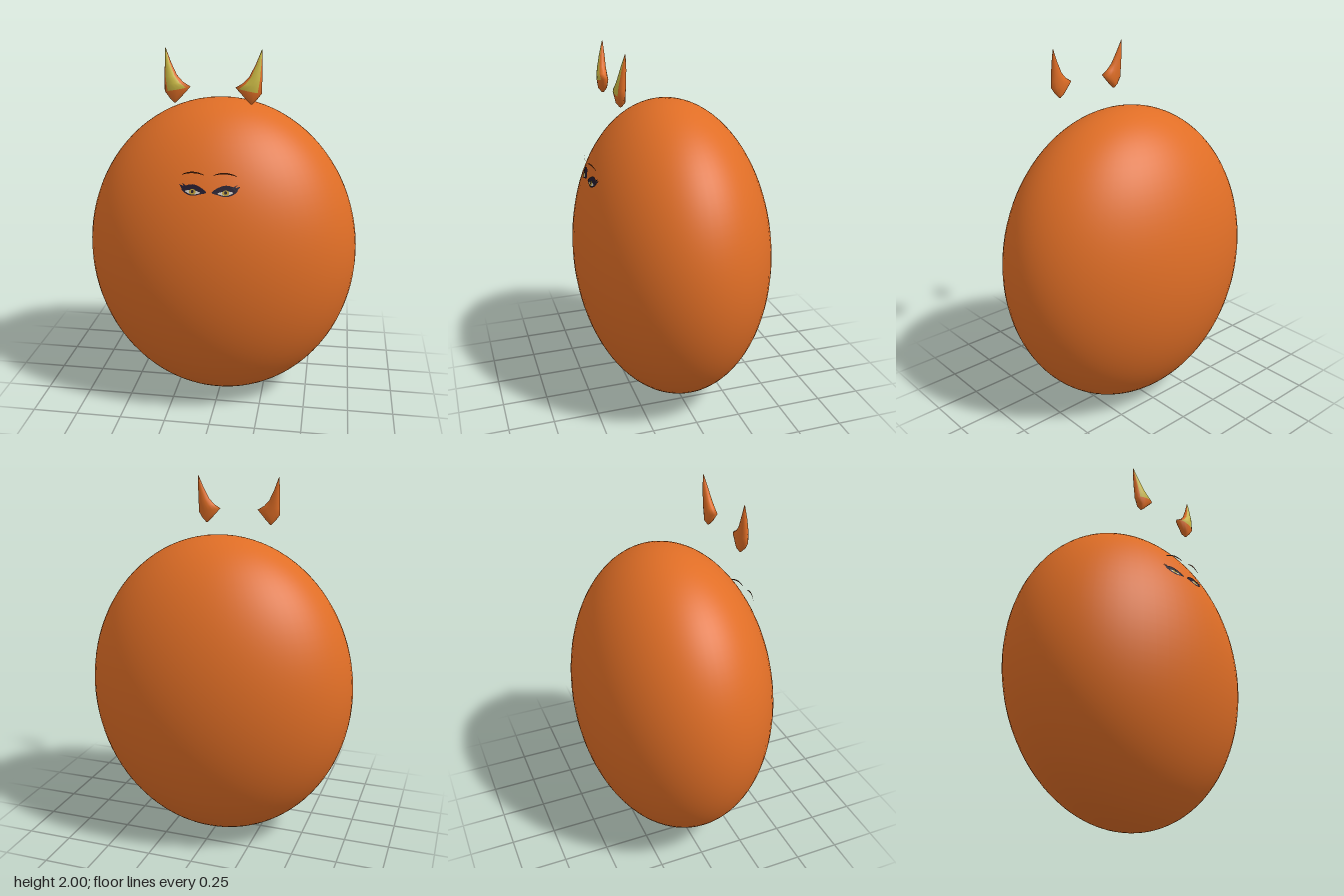
import * as THREE from 'three';

const mat = (name, color, side = THREE.FrontSide) => {
  const m = new THREE.MeshStandardMaterial({ color, side });
  m.name = name;
  return m;
};

const BODY = { y: 0.857, rx: 0.75, ry: 0.853, rz: 0.538 };

// z of the body's front surface
const frontZ = (x, y) =>
  BODY.rz * Math.sqrt(Math.max(0, 1 - (x / BODY.rx) ** 2 - ((y - BODY.y) / BODY.ry) ** 2));

function addMesh(parent, name, geometry, material) {
  const mesh = new THREE.Mesh(geometry, material);
  mesh.name = name;
  parent.add(mesh);
  return mesh;
}

// Thin face shape laid over the body; zAt gives its depth
function plate(points, side, zAt) {
  const shape = new THREE.Shape(points.map(([x, y]) => new THREE.Vector2(side * x, y)));
  const g = new THREE.ShapeGeometry(shape);
  const p = g.attributes.position;
  for (let i = 0; i < p.count; i++) p.setZ(i, zAt(p.getX(i), p.getY(i)));
  g.computeVertexNormals();
  return g;
}

const smooth = (pts, n = 32) =>
  new THREE.CatmullRomCurve3(pts.map(([x, y]) => new THREE.Vector3(x, y, 0)), true, 'centripetal')
    .getPoints(n).slice(0, n).map(v => [v.x, v.y]);

const disc = (cx, cy, rx, ry, n = 20) => Array.from({ length: n }, (_, i) => {
  const a = (i / n) * Math.PI * 2;
  return [cx + rx * Math.cos(a), cy + ry * Math.sin(a)];
});

// Horn-like ear: oval rings from base to tip, front strip in the lining colour
function earGeometry(side) {
  // inner x, inner y, outer x, outer y, centre z, half depth
  const rings = [
    [0.188, 1.734, 0.196, 1.734, 0.314, 0.006],
    [0.165, 1.757, 0.218, 1.757, 0.315, 0.024],
    [0.112, 1.815, 0.243, 1.790, 0.317, 0.028],
    [0.150, 1.838, 0.243, 1.825, 0.316, 0.027],
    [0.180, 1.870, 0.243, 1.860, 0.313, 0.023],
    [0.210, 1.930, 0.242, 1.925, 0.306, 0.015],
    [0.237, 1.998, 0.240, 2.000, 0.298, 0.002],
  ];
  const N = 16, pos = [], shell = [], lining = [];
  for (const [xi, yi, xo, yo, z, d] of rings) {
    for (let k = 0; k < N; k++) {
      const a = (k / N) * Math.PI * 2, t = (1 + Math.cos(a)) / 2;
      pos.push(side * (xi + (xo - xi) * t), yi + (yo - yi) * t, z + d * Math.sin(a));
    }
  }
  const tri = (list, a, b, c) => side > 0 ? list.push(a, b, c) : list.push(a, c, b);
  for (let r = 0; r < rings.length - 1; r++) {
    for (let k = 0; k < N; k++) {
      const a = r * N + k, b = r * N + (k + 1) % N;
      const list = r >= 2 && k >= 2 && k < 6 ? lining : shell;
      tri(list, a, a + N, b);
      tri(list, b, a + N, b + N);
    }
  }
  // end caps
  const top = (rings.length - 1) * N;
  for (let k = 1; k < N - 1; k++) {
    tri(shell, 0, k, k + 1);
    tri(shell, top, top + k + 1, top + k);
  }
  const g = new THREE.BufferGeometry();
  g.setAttribute('position', new THREE.Float32BufferAttribute(pos, 3));
  g.setIndex([...shell, ...lining]);
  g.addGroup(0, shell.length, 0);
  g.addGroup(shell.length, lining.length, 1);
  g.computeVertexNormals();
  return g;
}

export function createModel() {
  const orange = mat('orange skin', 0xe06e26, THREE.DoubleSide);
  const yellow = mat('yellow lining', 0xccbb45, THREE.DoubleSide);
  const dark = mat('dark lash', 0x231a2c, THREE.DoubleSide);
  const white = mat('eye white', 0xcfc9bd, THREE.DoubleSide);
  const gold = mat('gold iris', 0xb89a34, THREE.DoubleSide);
  const brown = mat('brow brown', 0x5a2a12, THREE.DoubleSide);

  const model = new THREE.Group();
  model.name = 'roundCreature';

  // Egg-shaped body
  const bodyGeo = new THREE.SphereGeometry(1, 64, 48);
  bodyGeo.scale(BODY.rx, BODY.ry, BODY.rz);
  bodyGeo.translate(0, BODY.y, 0);
  addMesh(model, 'body', bodyGeo, orange);

  // Eye and brow outlines on the +x side
  const lash = [
    ...smooth([[0.014, 1.314], [0.048, 1.339], [0.085, 1.349], [0.122, 1.34],
      [0.142, 1.324], [0.12, 1.305], [0.085, 1.296], [0.045, 1.304]]),
  ];
  const flicks = [
    [[0.118, 1.335], [0.135, 1.318], [0.155, 1.344]],
    [[0.11, 1.336], [0.125, 1.33], [0.14, 1.352]],
  ];
  const eyeWhite = smooth([[0.044, 1.312], [0.085, 1.323], [0.122, 1.316], [0.085, 1.302]], 24);
  const browTop = [], browBottom = [];
  for (let i = 0; i <= 12; i++) {
    const t = i / 12, x = 0.024 + 0.113 * t;
    const y = 1.404 - 0.006 * t + 0.052 * t * (1 - t), h = 0.001 + 0.012 * t * (1 - t);
    browTop.push([x, y + h]);
    browBottom.unshift([x, y - h]);
  }

  for (const side of [1, -1]) {
    const label = side > 0 ? 'left' : 'right';

    addMesh(model, label + 'Ear', earGeometry(side), [orange, yellow]);

    const eye = new THREE.Group();
    eye.name = label + 'Eye';
    model.add(eye);
    const over = d => (x, y) => frontZ(x, y) + d;
    addMesh(eye, 'lashes', plate(lash, side, over(0.004)), dark);
    flicks.forEach(f => addMesh(eye, 'lashFlick', plate(f, side, over(0.004)), dark));
    addMesh(eye, 'eyeWhite', plate(eyeWhite, side, over(0.006)), white);
    addMesh(eye, 'iris', plate(disc(0.084, 1.315, 0.017, 0.013), side, over(0.008)), gold);
    addMesh(eye, 'pupil', plate(disc(0.084, 1.317, 0.007, 0.008), side, over(0.0095)), dark);

    // Brow floats just ahead of the forehead
    const browZ = x => 0.46 - 1.1 * x * x;
    addMesh(model, label + 'Brow', plate([...browTop, ...browBottom], side, browZ), brown);
  }
  return model;
}
